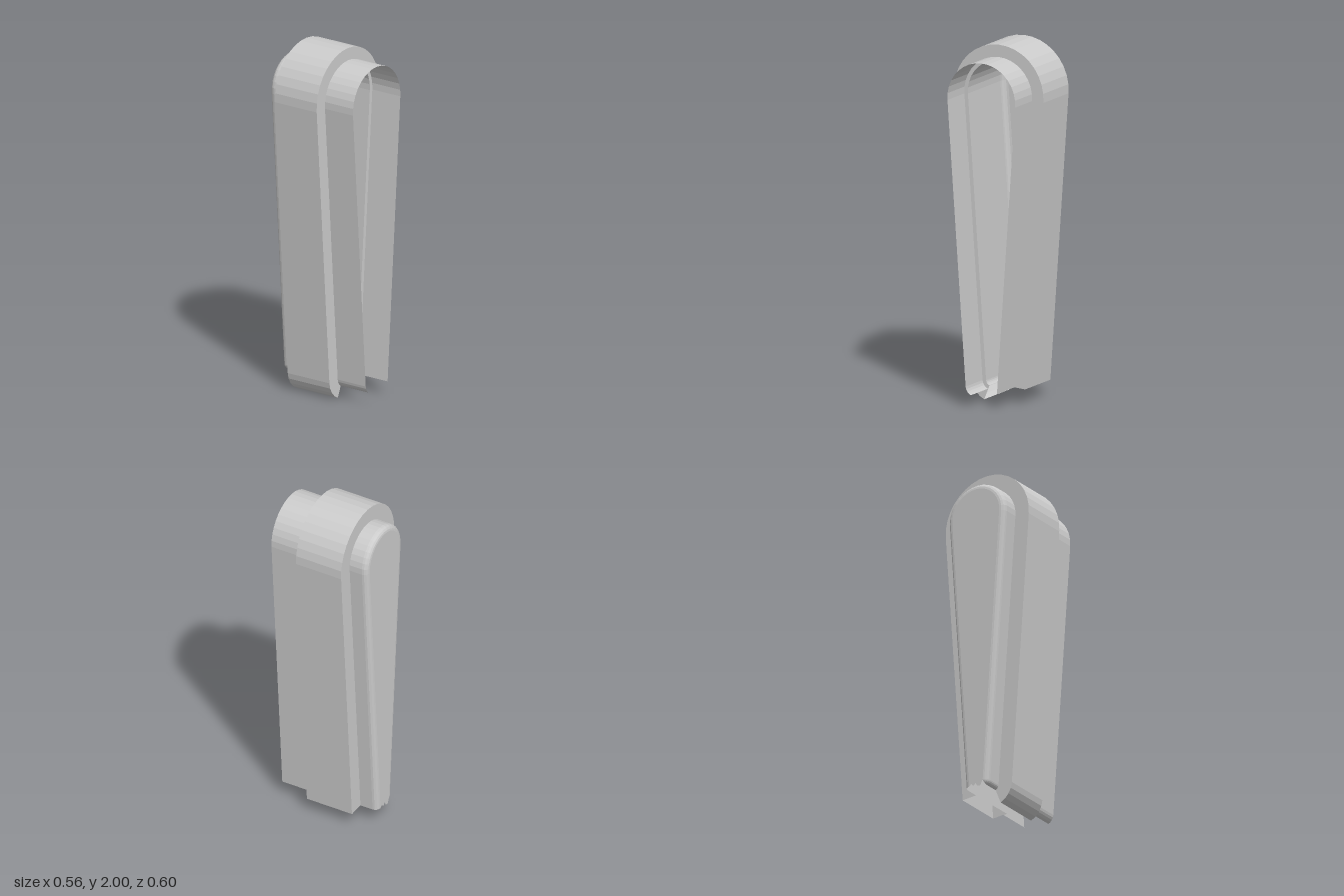
import * as THREE from 'three';

const TILT = 0.07;          // lean of the tapering sides
const TOP_Y = 1.72;         // centre of the rounded top
const FOOT = [-0.045, 0.11]; // centre of the curled lower corner
const material = new THREE.MeshStandardMaterial({ color: 0xcccccc, flatShading: true, side: THREE.DoubleSide });

// Teardrop outline at offset r: right foot, round top, left side, curled corner
function outline(r) {
  const pts = [];
  const len = 1.625;
  pts.push([
    r * Math.cos(TILT) - len * Math.sin(TILT),
    TOP_Y - r * Math.sin(TILT) - len * Math.cos(TILT),
  ]);
  const arcSteps = 18;
  for (let i = 0; i <= arcSteps; i++) {
    const a = -TILT + (Math.PI + 2 * TILT) * i / arcSteps;
    pts.push([r * Math.cos(a), TOP_Y + r * Math.sin(a)]);
  }
  const curl = Math.max(r - 0.159, 0.002);
  const start = Math.PI + TILT, end = 4.33;
  for (let i = 0; i <= 4; i++) {
    const a = start + (end - start) * i / 4;
    pts.push([FOOT[0] + curl * Math.cos(a), FOOT[1] + curl * Math.sin(a)]);
  }
  return pts;
}

// Skin a profile of [offset, z] pairs along the outline
function sweep(name, profile) {
  const rows = profile.map(([r, z]) => outline(r).map(([x, y]) => [x, y, z]));
  const n = rows[0].length;
  const index = [];
  for (let j = 0; j < rows.length - 1; j++) {
    for (let i = 0; i < n - 1; i++) {
      const a = j * n + i, b = a + 1, c = a + n, d = c + 1;
      index.push(a, c, b, b, c, d);
    }
  }
  const g = new THREE.BufferGeometry();
  g.setAttribute('position', new THREE.Float32BufferAttribute(rows.flat(2), 3));
  g.setIndex(index);
  const flat = g.toNonIndexed();
  flat.computeVertexNormals();
  const mesh = new THREE.Mesh(flat, material);
  mesh.name = name;
  return mesh;
}

export function createModel() {
  const group = new THREE.Group();
  group.name = 'teardropHousing';

  // Open front collar with its narrow inner ledge
  group.add(sweep('frontCollar', [[0.212, 0.3], [0.212, 0.105], [0.19, 0.105]]));

  // Inner wall running to the rounded back edge
  const wall = [[0.19, 0.105]];
  for (let i = 0; i <= 4; i++) {
    const a = (Math.PI / 2) * i / 4;
    wall.push([0.158 + 0.032 * Math.cos(a), -0.268 - 0.032 * Math.sin(a)]);
  }
  group.add(sweep('innerWall', wall));

  // Wide middle band with flat front and back shoulders
  group.add(sweep('middleBand', [[0.19, 0.1], [0.28, 0.1], [0.28, -0.19], [0.19, -0.19]]));

  // Back plate, with a slightly broken lower edge
  const edge = [[-0.03, 0.075], [-0.01, 0.08], [0.0, 0.1], [0.015, 0.085], [0.03, 0.1]];
  const shape = new THREE.Shape([...outline(0.158), ...edge].map(([x, y]) => new THREE.Vector2(x, y)));
  const plate = new THREE.Mesh(new THREE.ShapeGeometry(shape), material);
  plate.name = 'backPlate';
  plate.position.z = -0.3;
  group.add(plate);

  return group;
}
